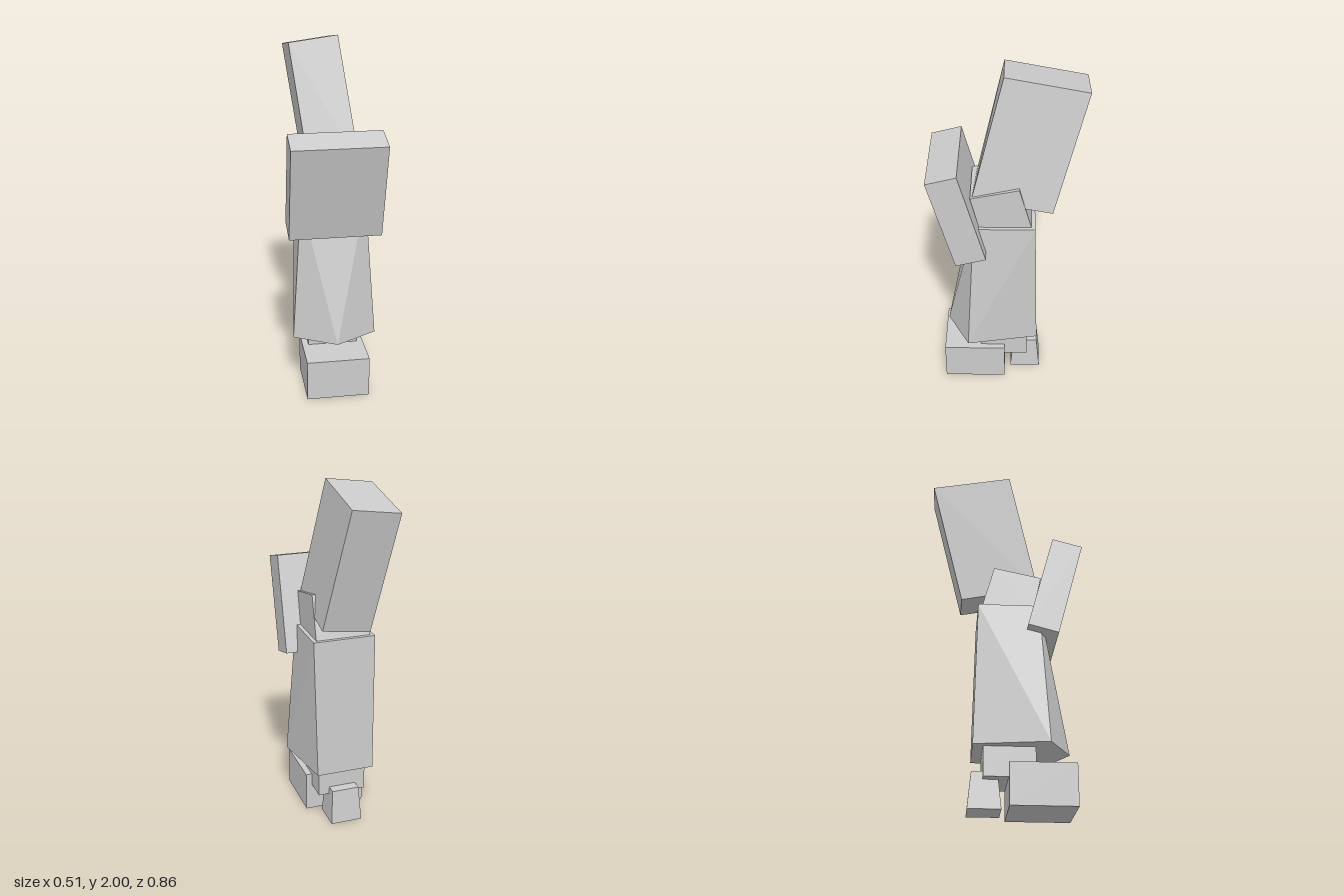
import * as THREE from 'three';
import { ConvexGeometry } from 'three/addons/geometries/ConvexGeometry.js';

const material = new THREE.MeshStandardMaterial({ color: 0xcccccc, flatShading: true });

function add(group, name, geometry, position = [0, 0, 0], tiltX = 0) {
  const mesh = new THREE.Mesh(geometry, material);
  mesh.name = name;
  mesh.position.set(...position);
  mesh.rotation.x = tiltX;
  group.add(mesh);
}

// Flat-sided solid around a set of corners
const solid = (corners) => new ConvexGeometry(corners.map((c) => new THREE.Vector3(...c)));

// Repeats corners on both sides of the middle plane
const mirrored = (corners) => corners.flatMap(([x, y, z]) => [[x, y, z], [-x, y, z]]);

export function createModel() {
  const leg = new THREE.Group();
  leg.name = 'leg';

  // Foot block, tapered heel and ankle
  add(leg, 'foot', new THREE.BoxGeometry(0.355, 0.232, 0.36), [0.002, 0.116, 0.195]);
  add(leg, 'heel', solid(mirrored([
    [0.093, 0, -0.02], [0.093, 0, -0.2],
    [0.08, 0.205, -0.04], [0.08, 0.205, -0.18],
  ])));
  add(leg, 'ankle', new THREE.BoxGeometry(0.284, 0.2, 0.28), [0.002, 0.26, 0.02]);

  // Shin flares downward, with a keel at the lower front
  add(leg, 'shin', solid([
    ...mirrored([
      [0.18, 1.14, 0.185], [0.18, 1.14, -0.157],
      [0.235, 0.325, 0.23], [0.168, 0.325, -0.177],
    ]),
    [0, 0.325, 0.357],
  ]));

  // Knee joint leans forward out of the shin
  add(leg, 'knee', solid(mirrored([
    [0.158, 1.33, 0.2], [0.158, 1.386, -0.067],
    [0.158, 1.08, 0.14], [0.158, 1.125, -0.139],
  ])));

  // Tilted knee guard
  add(leg, 'kneeGuard', new THREE.BoxGeometry(0.514, 0.564, 0.174), [-0.001, 1.2375, 0.2715], 0.26);

  // Thigh leans back and to one side
  add(leg, 'thigh', solid([
    [0.05, 2.0, 0.017], [-0.217, 1.965, 0.017],
    [0.062, 1.922, -0.428], [-0.205, 1.887, -0.428],
    [0.147, 1.315, 0.193], [-0.128, 1.28, 0.183],
    [0.16, 1.237, -0.25], [-0.113, 1.2, -0.25],
  ]));

  return leg;
}
